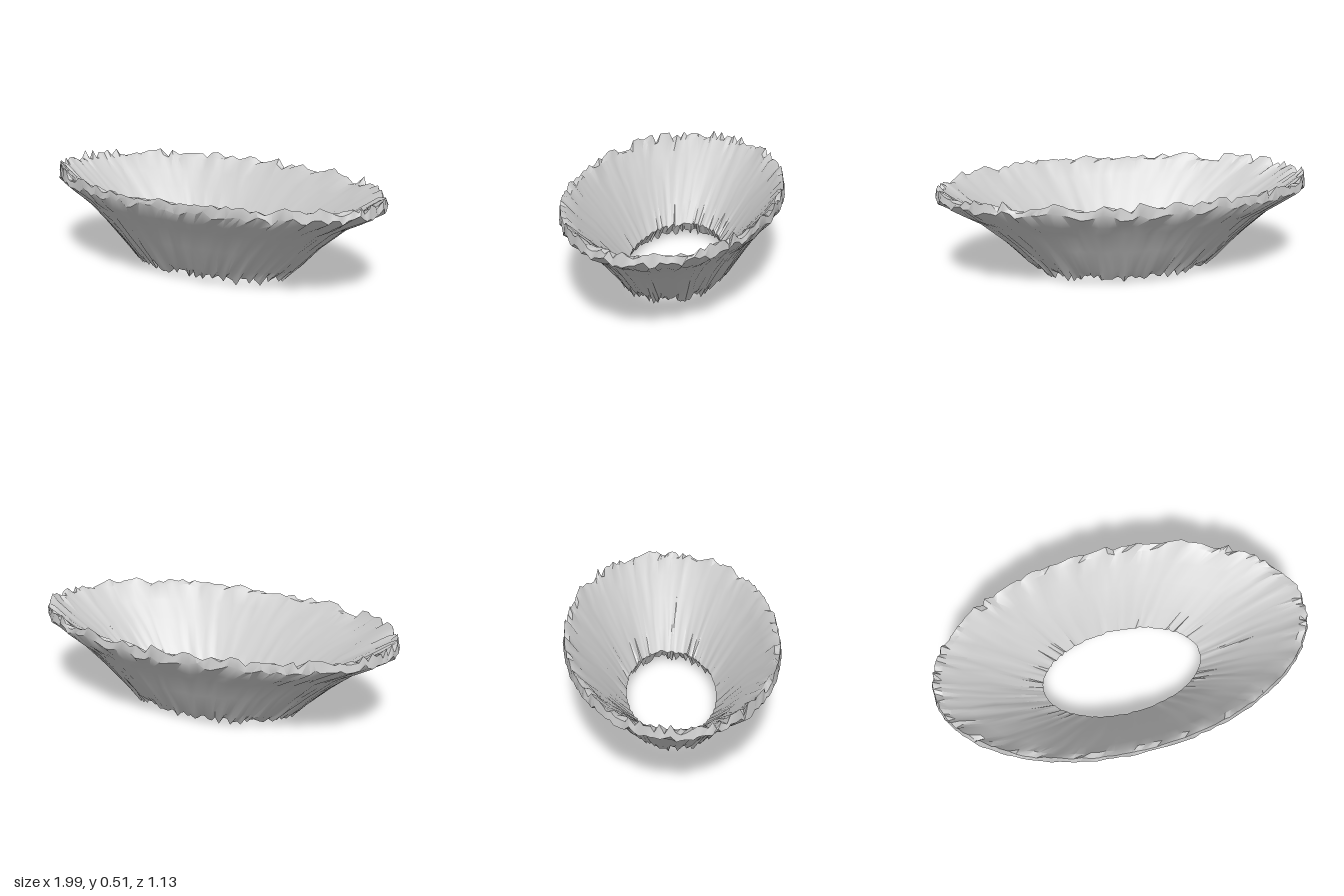
import * as THREE from 'three';
import { toCreasedNormals } from 'three/addons/utils/BufferGeometryUtils.js';

const SEGMENTS = 150;

// Cross-section of the wall: x radius, z radius, height, height jitter, radial jitter
const PROFILE = [
  [0.475, 0.285, 0.035, 0.022, 0.012], // ragged outer foot
  [0.535, 0.325, 0.09, 0.012, 0.008],
  [0.67, 0.405, 0.22, 0.008, 0.005],
  [0.81, 0.48, 0.335, 0.006, 0.004],
  [0.90, 0.525, 0.385, 0.008, 0.004],
  [0.992, 0.565, 0.445, 0.021, 0.006], // outer rim
  [0.982, 0.558, 0.487, 0.028, 0.008], // rim peaks
  [0.945, 0.53, 0.468, 0.014, 0.008], // inner rim
  [0.85, 0.48, 0.40, 0.006, 0.003],
  [0.72, 0.405, 0.315, 0.005, 0.003],
  [0.57, 0.315, 0.19, 0.006, 0.004],
  [0.445, 0.243, 0.09, 0.012, 0.003], // inner edge of the opening
];

function seeded(seed) {
  return () => {
    seed = (seed * 16807) % 2147483647;
    return (seed / 2147483647) * 2 - 1;
  };
}

function ringGeometry() {
  const random = seeded(4271);
  const rows = PROFILE.length;
  const positions = [];
  const index = [];

  // Folds shared by all rows make creases run from foot to rim
  const folds = Array.from({ length: SEGMENTS }, () => random());

  for (let i = 0; i < SEGMENTS; i++) {
    for (const [rx, rz, height, jitterY, jitterR] of PROFILE) {
      const angle = ((i + 0.25 * random()) / SEGMENTS) * Math.PI * 2;
      const swell = 1 + jitterR * (0.6 * folds[i] + 0.4 * random());
      positions.push(
        Math.min(1, Math.max(-1, rx * swell * Math.cos(angle))),
        Math.max(0, height + jitterY * (0.3 * folds[i] + 0.9 * random())),
        rz * swell * Math.sin(angle),
      );
    }
  }

  // Join neighbouring cross-sections into a closed ring
  for (let i = 0; i < SEGMENTS; i++) {
    const next = (i + 1) % SEGMENTS;
    for (let j = 0; j < rows; j++) {
      const up = (j + 1) % rows;
      const a = i * rows + j, b = i * rows + up;
      const c = next * rows + up, d = next * rows + j;
      index.push(a, b, d, b, c, d);
    }
  }

  const geometry = new THREE.BufferGeometry();
  geometry.setAttribute('position', new THREE.Float32BufferAttribute(positions, 3));
  geometry.setIndex(index);
  return toCreasedNormals(geometry, 0.8);
}

export function createModel() {
  const group = new THREE.Group();
  group.name = 'craterRing';

  const material = new THREE.MeshStandardMaterial({ color: 0xcccccc });
  const wall = new THREE.Mesh(ringGeometry(), material);
  wall.name = 'raggedWall';
  group.add(wall);

  return group;
}
